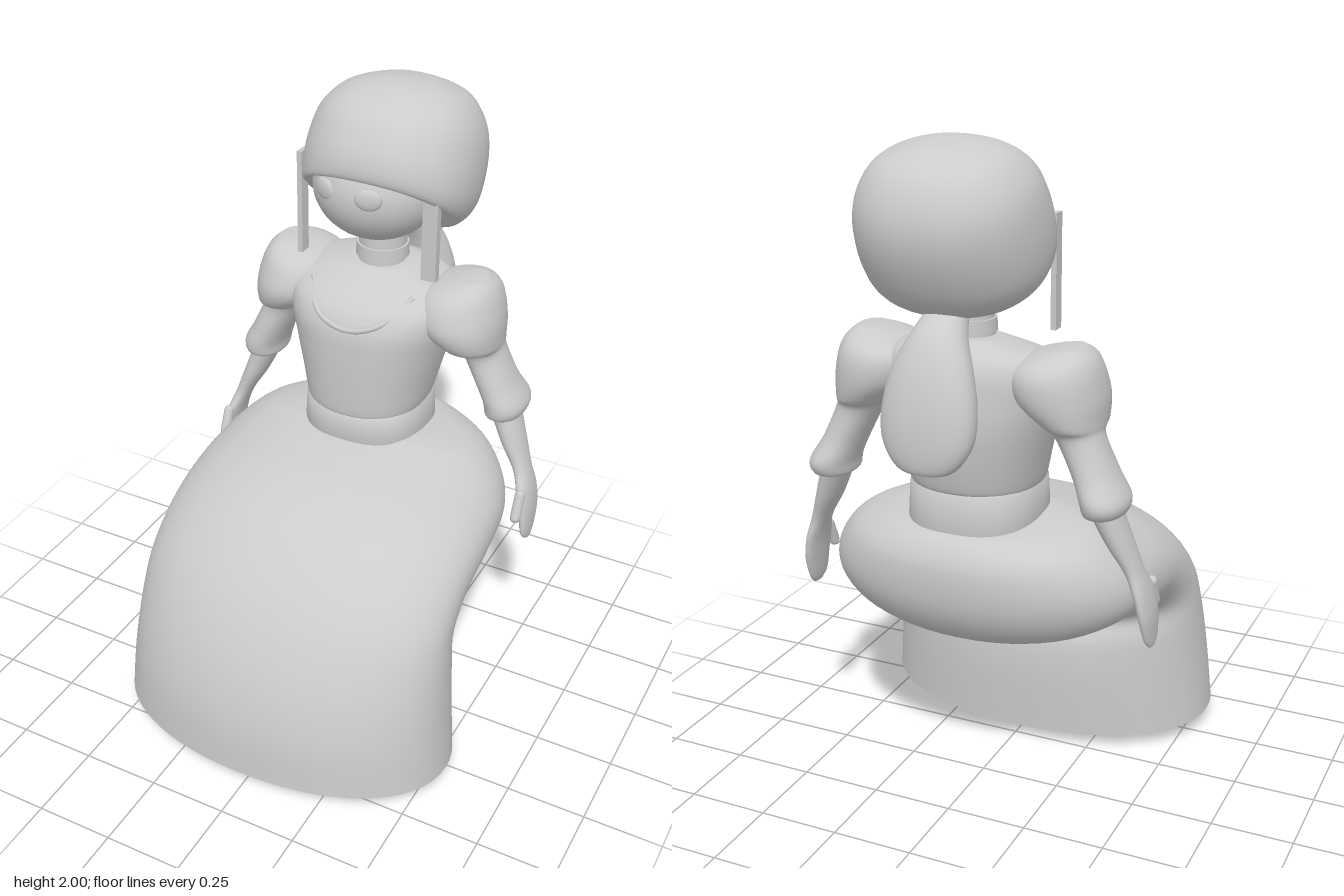
import * as THREE from 'three';
import { toCreasedNormals } from 'three/addons/utils/BufferGeometryUtils.js';

const mat = new THREE.MeshStandardMaterial({ color: 0xcccccc });

function add(parent, name, geo, x = 0, y = 0, z = 0) {
  const m = new THREE.Mesh(geo, mat);
  m.name = name;
  m.position.set(x, y, z);
  parent.add(m);
  return m;
}

// Catmull-Rom value between b and c
const spline = (a, b, c, d, t) =>
  b + 0.5 * t * (c - a + t * (2 * a - 5 * b + 4 * c - d + t * (3 * (b - c) + d - a)));

// Lofts superellipse rings. Section: [front z, front y, back z, back y, half width, centre x]
function loft(sections, { n = 2, steps = 5, seg = 40, capStart = true, capEnd = true } = {}) {
  const rings = [];
  const at = (i) => sections[Math.max(0, Math.min(sections.length - 1, i))];
  for (let i = 0; i < sections.length - 1; i++)
    for (let s = 0; s < steps; s++)
      rings.push([0, 1, 2, 3, 4, 5].map((k) =>
        spline(at(i - 1)[k] || 0, at(i)[k] || 0, at(i + 1)[k] || 0, at(i + 2)[k] || 0, s / steps)));
  rings.push(at(sections.length));
  const pos = [], idx = [];
  const power = (v) => Math.sign(v) * Math.abs(v) ** (2 / n);
  for (const [zf, yf, zb, yb, a, cx = 0] of rings)
    for (let j = 0; j < seg; j++) {
      const t = (j / seg) * Math.PI * 2, c = power(Math.cos(t)), v = power(Math.sin(t));
      pos.push(cx + a * c, (yf + yb) / 2 + (v * (yf - yb)) / 2, (zf + zb) / 2 + (v * (zf - zb)) / 2);
    }
  for (let i = 0; i < rings.length - 1; i++)
    for (let j = 0; j < seg; j++) {
      const p = i * seg + j, q = i * seg + ((j + 1) % seg);
      idx.push(p, p + seg, q, q, p + seg, q + seg);
    }
  const cap = (k, top) => {
    const r = rings[k], centre = pos.length / 3;
    pos.push(r[5] || 0, (r[1] + r[3]) / 2, (r[0] + r[2]) / 2);
    for (let j = 0; j < seg; j++) {
      const p = k * seg + j, q = k * seg + ((j + 1) % seg);
      idx.push(centre, top ? q : p, top ? p : q);
    }
  };
  if (capStart) cap(0, false);
  if (capEnd) cap(rings.length - 1, true);
  const g = new THREE.BufferGeometry();
  g.setAttribute('position', new THREE.Float32BufferAttribute(pos, 3));
  g.setIndex(idx);
  g.computeVertexNormals();
  return g;
}

export function createModel() {
  const root = new THREE.Group();
  root.name = 'seatedDoll';

  // Skirt bending over the seated lap, hollow at the hem
  const hem = [0.65, 0.08, -0.02, 0.04, 0.56];
  add(root, 'skirt', loft([
    hem,
    [0.635, 0.26, -0.03, 0.24, 0.543],
    [0.575, 0.45, -0.022, 0.36, 0.53],
    [0.465, 0.63, 0.005, 0.43, 0.52],
    [0.31, 0.775, -0.08, 0.475, 0.515],
    [0.15, 0.855, -0.25, 0.5, 0.512],
    [0.02, 0.89, -0.42, 0.54, 0.495],
    [-0.05, 0.905, -0.51, 0.65, 0.45],
    [-0.08, 0.91, -0.53, 0.79, 0.375],
    [-0.09, 0.915, -0.495, 0.87, 0.27],
    [-0.1, 0.92, -0.45, 0.89, 0.18],
  ], { n: 2.12, seg: 64, capStart: false }));
  add(root, 'skirtLining', toCreasedNormals(loft([
    [0.5, 0.42, 0.07, 0.34, 0.44],
    [0.57, 0.2, 0.04, 0.17, 0.48],
    [0.59, 0.077, 0.04, 0.044, 0.495],
    hem,
  ], { n: 2.12, seg: 64, steps: 1, capEnd: false }), 0.6));

  // Torso
  add(root, 'waistband', toCreasedNormals(loft([
    [-0.062, 0.89, -0.455, 0.86, 0.193],
    [-0.055, 0.91, -0.462, 0.88, 0.198],
    [-0.057, 0.99, -0.455, 1.0, 0.193],
    [-0.068, 1.003, -0.445, 1.013, 0.183],
  ], { n: 2.5, steps: 1, seg: 48 }), 0.7));
  add(root, 'bodice', loft([
    [-0.066, 0.99, -0.447, 1.0, 0.186],
    [-0.058, 1.01, -0.46, 1.02, 0.195],
    [-0.055, 1.1, -0.48, 1.1, 0.215],
    [-0.055, 1.2, -0.495, 1.2, 0.24],
    [-0.062, 1.29, -0.492, 1.29, 0.262],
    [-0.1, 1.355, -0.48, 1.37, 0.265],
    [-0.17, 1.4, -0.45, 1.42, 0.22],
    [-0.235, 1.44, -0.4, 1.45, 0.09],
  ], { n: 2.3 }));
  const neckline = new THREE.CatmullRomCurve3([
    [-0.17, 1.39, -0.19], [-0.1, 1.325, -0.088], [0, 1.298, -0.067], [0.1, 1.325, -0.088], [0.17, 1.39, -0.19],
  ].map((p) => new THREE.Vector3(...p)));
  add(root, 'neckline', new THREE.TubeGeometry(neckline, 32, 0.009, 8));

  // Neck and choker
  add(root, 'neck', new THREE.CylinderGeometry(0.072, 0.078, 0.2, 32), 0.005, 1.48, -0.312);
  add(root, 'choker', new THREE.CylinderGeometry(0.081, 0.083, 0.04, 32), 0.005, 1.475, -0.312);

  // Head, turned slightly to its right
  const head = new THREE.Group();
  head.name = 'head';
  root.add(head);
  add(head, 'face', new THREE.SphereGeometry(1, 40, 28), -0.01, 1.69, -0.305).scale.set(0.2, 0.172, 0.195);
  for (const [x, z, turn] of [[-0.105, -0.142, -0.45], [0.045, -0.124, 0.25]]) {
    const eye = add(head, 'eye', new THREE.SphereGeometry(1, 20, 14), x, 1.71, z);
    eye.scale.set(0.042, 0.034, 0.014);
    eye.rotation.y = turn;
  }
  add(head, 'hair', loft([
    [-0.17, 1.8, -0.36, 1.55, 0.18, 0.015],
    [-0.108, 1.77, -0.42, 1.515, 0.235, 0.015],
    [-0.095, 1.805, -0.53, 1.555, 0.264, 0.022],
    [-0.115, 1.87, -0.61, 1.68, 0.267, 0.024],
    [-0.17, 1.945, -0.632, 1.8, 0.245, 0.024],
    [-0.25, 1.985, -0.59, 1.91, 0.185, 0.026],
    [-0.33, 2.0, -0.5, 1.97, 0.09, 0.028],
    [-0.39, 1.998, -0.43, 1.99, 0.02, 0.028],
  ], { n: 2.2, seg: 48 }));
  add(head, 'rightHairStrand', new THREE.BoxGeometry(0.016, 0.33, 0.04), -0.218, 1.62, -0.21);
  add(head, 'leftHairStrand', new THREE.BoxGeometry(0.048, 0.32, 0.026), 0.214, 1.62, -0.2);
  add(head, 'ponytail', loft([
    [-0.585, 1.118, -0.61, 1.118, 0.03],
    [-0.545, 1.145, -0.64, 1.13, 0.09],
    [-0.515, 1.22, -0.65, 1.2, 0.135],
    [-0.495, 1.31, -0.643, 1.3, 0.138],
    [-0.475, 1.4, -0.615, 1.41, 0.115],
    [-0.44, 1.47, -0.565, 1.5, 0.08],
    [-0.38, 1.53, -0.48, 1.57, 0.05],
  ], { n: 2.2 }));

  // Arms and legs; each is modelled on the left and mirrored by its x values
  for (const side of [1, -1]) {
    const name = side > 0 ? 'left' : 'right';
    // level rings: [y, front z, back z, half width, centre x]
    const limb = (rows) => loft(rows.map(([y, f, b, a, x]) => [f, y, b, y, a, x * side]), { n: 2.1, seg: 28 });
    add(root, name + 'ForearmAndHand', limb([
      [0.572, -0.265, -0.31, 0.008, 0.557],
      [0.6, -0.24, -0.335, 0.014, 0.554],
      [0.67, -0.235, -0.36, 0.021, 0.548],
      [0.74, -0.24, -0.368, 0.023, 0.535],
      [0.81, -0.272, -0.365, 0.026, 0.51],
      [0.9, -0.275, -0.39, 0.038, 0.468],
      [1.02, -0.28, -0.42, 0.045, 0.42],
    ]));
    const thumb = add(root, name + 'Thumb', new THREE.CapsuleGeometry(0.017, 0.075, 4, 10), 0.537 * side, 0.715, -0.228);
    thumb.rotation.x = -0.4;
    add(root, name + 'Sleeve', limb([
      [0.985, -0.29, -0.41, 0.04, 0.425],
      [0.99, -0.255, -0.44, 0.06, 0.43],
      [1.03, -0.245, -0.455, 0.068, 0.43],
      [1.1, -0.25, -0.43, 0.064, 0.395],
      [1.2, -0.25, -0.42, 0.07, 0.345],
      [1.235, -0.18, -0.45, 0.09, 0.322],
      [1.3, -0.148, -0.472, 0.13, 0.283],
      [1.37, -0.165, -0.47, 0.13, 0.27],
      [1.415, -0.2, -0.435, 0.095, 0.285],
      [1.442, -0.26, -0.37, 0.035, 0.315],
    ]));
    const leg = add(root, name + 'Leg', new THREE.CylinderGeometry(1, 1, 0.4, 32), 0.175 * side, 0.2, 0.238);
    leg.scale.set(0.1, 1, 0.082);
  }
  return root;
}
